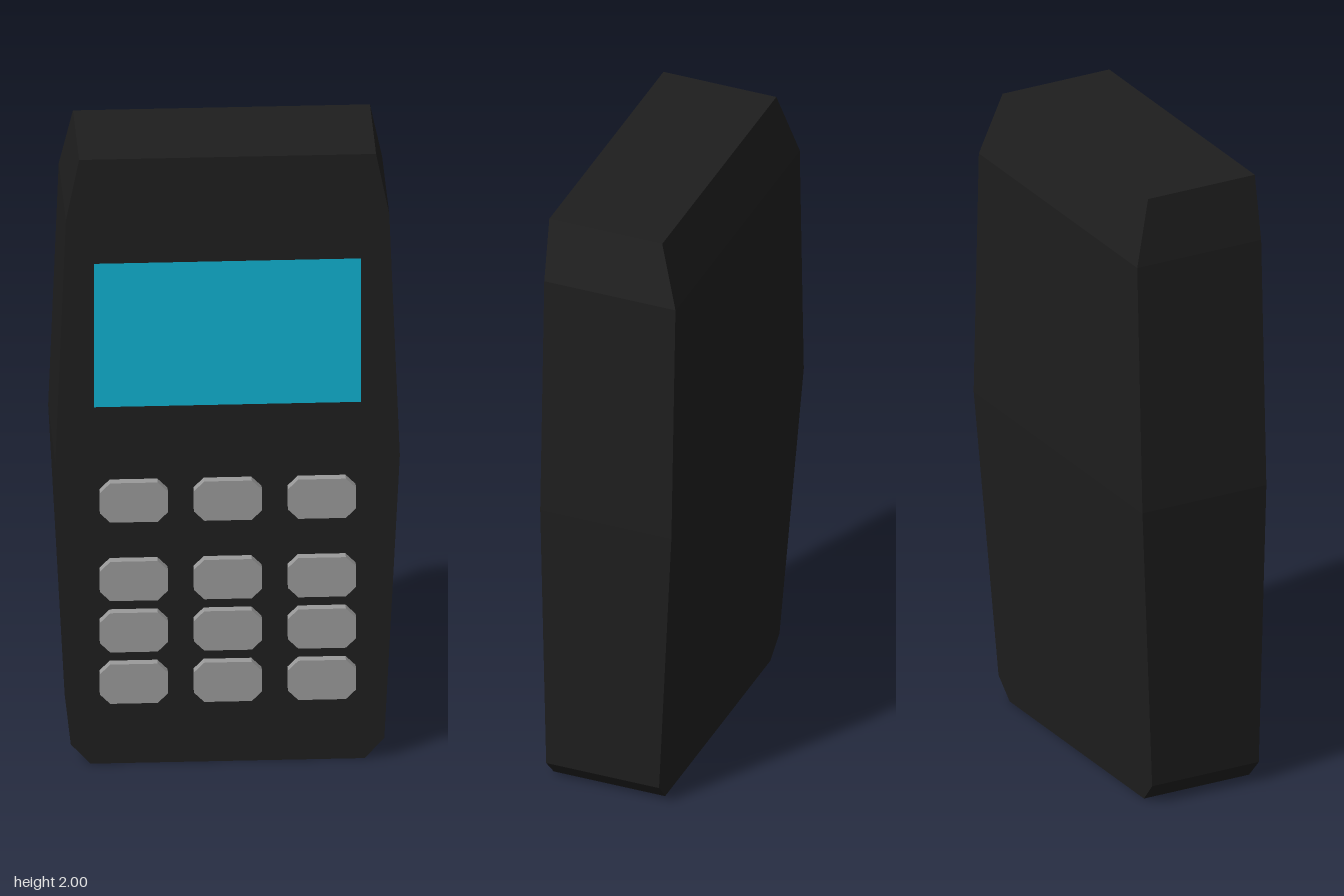
import * as THREE from 'three';

const FRONT = 0.2;

// Body levels from bottom to top: [height, half width, back z]
const LEVELS = [
  [0, 0.415, -0.165],
  [0.065, 0.475, -0.17],
  [1.0, 0.522, -0.23],
  [1.8, 0.49, -0.23],
  [2.0, 0.45, -0.17],
];

function makeMesh(name, geometry, material) {
  const mesh = new THREE.Mesh(geometry, material);
  mesh.name = name;
  return mesh;
}

// A segmented box whose rows are fitted to the body levels
function bodyGeometry() {
  const rows = LEVELS.length - 1;
  const geometry = new THREE.BoxGeometry(2, rows, 1, 1, rows, 1);
  const p = geometry.attributes.position;
  for (let i = 0; i < p.count; i++) {
    const [y, halfWidth, back] = LEVELS[Math.round(p.getY(i) + rows / 2)];
    p.setXYZ(i, p.getX(i) * halfWidth, y, p.getZ(i) > 0 ? FRONT : back);
  }
  geometry.computeVertexNormals();
  return geometry;
}

// Rectangular key with cut corners
function keyGeometry(width, height, cut, depth) {
  const w = width / 2, h = height / 2;
  const outline = [
    [w - cut, -h], [w, cut - h], [w, h - cut], [w - cut, h],
    [cut - w, h], [-w, h - cut], [-w, cut - h], [cut - w, -h],
  ].map(([x, y]) => new THREE.Vector2(x, y));
  return new THREE.ExtrudeGeometry(new THREE.Shape(outline), { depth, bevelEnabled: false });
}

export function createModel() {
  const model = new THREE.Group();
  model.name = 'handheldTerminal';

  const bodyMat = new THREE.MeshStandardMaterial({ color: 0x1e1e1e, flatShading: true });
  const screenMat = new THREE.MeshStandardMaterial({ color: 0x10b0d0 });
  const keyMat = new THREE.MeshStandardMaterial({ color: 0x999999, flatShading: true });

  model.add(makeMesh('body', bodyGeometry(), bodyMat));

  // Screen, practically flush with the front
  const screen = makeMesh('screen', new THREE.PlaneGeometry(0.81, 0.475), screenMat);
  screen.position.set(0, 1.418, FRONT + 0.001);
  model.add(screen);

  // Keypad: one function row above three rows of number keys
  const keypad = new THREE.Group();
  keypad.name = 'keypad';
  const keyGeo = keyGeometry(0.206, 0.13, 0.031, 0.03);
  [0.875, 0.615, 0.445, 0.275].forEach((y, row) => {
    for (let col = -1; col <= 1; col++) {
      const key = makeMesh(row === 0 ? 'functionKey' : 'numberKey', keyGeo, keyMat);
      key.position.set(col * 0.285, y, FRONT);
      keypad.add(key);
    }
  });
  model.add(keypad);

  return model;
}
